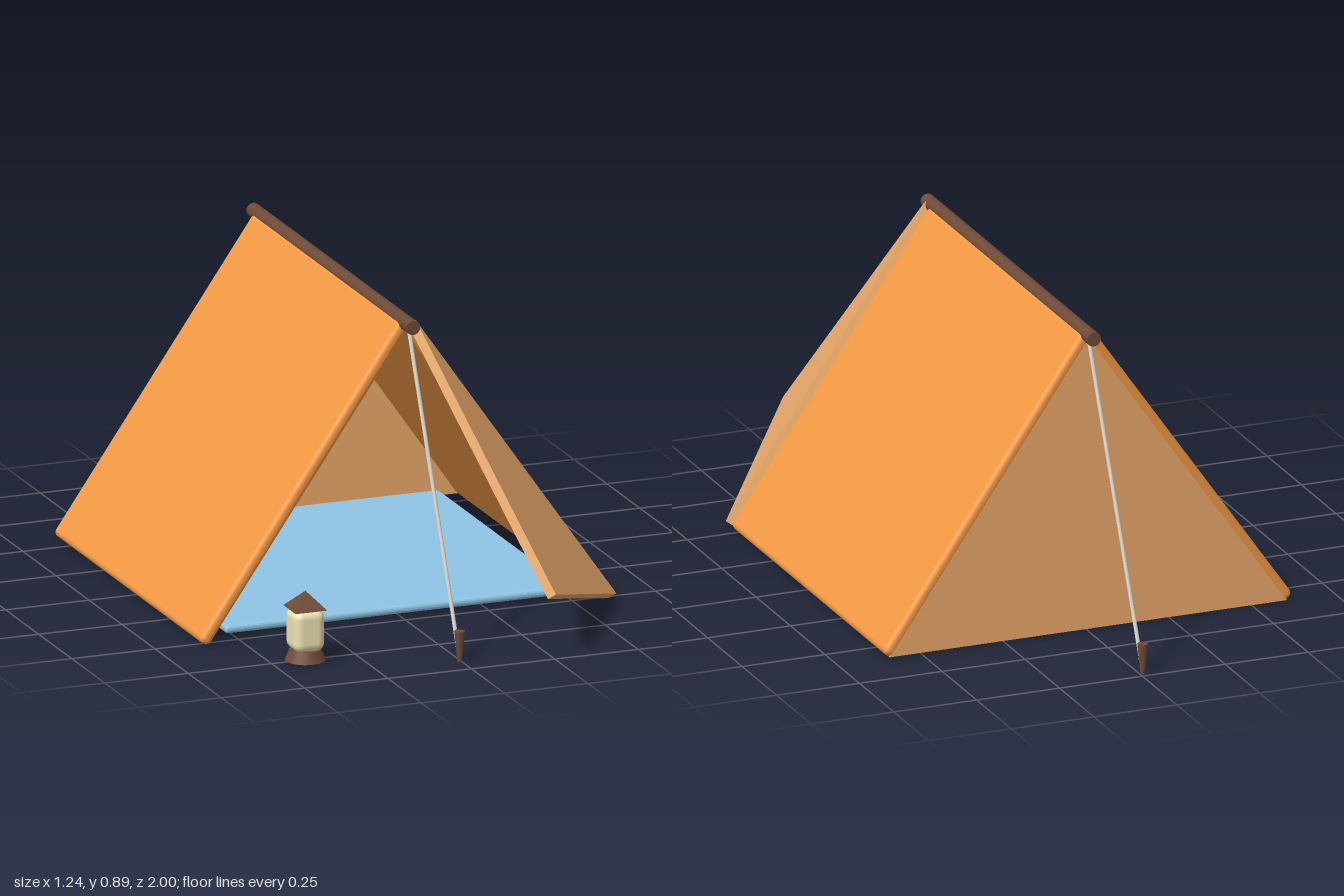
import * as THREE from 'three';
import { RoundedBoxGeometry } from 'three/addons/geometries/RoundedBoxGeometry.js';

const mat = (color, extra = {}) => new THREE.MeshStandardMaterial({ color, ...extra });
const CX = -0.007; // ridge line
const CZ = -0.034; // middle of the tent

function add(parent, name, geometry, material, x = 0, y = 0, z = 0) {
  const mesh = new THREE.Mesh(geometry, material);
  mesh.name = name;
  mesh.position.set(x, y, z);
  parent.add(mesh);
  return mesh;
}

// Cylinder stretched between two points
function rod(parent, name, a, b, radius, sides, material) {
  const dir = b.clone().sub(a);
  const mesh = add(parent, name, new THREE.CylinderGeometry(radius, radius, dir.length(), sides), material);
  mesh.position.copy(a).add(b).multiplyScalar(0.5);
  mesh.quaternion.setFromUnitVectors(new THREE.Vector3(0, 1, 0), dir.normalize());
  return mesh;
}

// Flat triangular plate: outer corners counter-clockwise, thickened inwards
function trianglePlate(corners, thickness) {
  const [a, b, c] = corners;
  const n = b.clone().sub(a).cross(c.clone().sub(a)).normalize();
  const inner = corners.map((p) => p.clone().addScaledVector(n, -thickness));
  const tris = [a, b, c, inner[0], inner[2], inner[1]];
  for (let i = 0; i < 3; i++) {
    const j = (i + 1) % 3;
    tris.push(corners[i], inner[i], inner[j], corners[i], inner[j], corners[j]);
  }
  const geometry = new THREE.BufferGeometry().setFromPoints(tris);
  geometry.computeVertexNormals();
  return geometry;
}

export function createModel() {
  const model = new THREE.Group();
  model.name = 'tent';
  const v = (x, y, z) => new THREE.Vector3(x, y, z);
  const canvas = mat(0xf39a45);
  const lightCanvas = mat(0xeeac6c);
  const wood = mat(0x6f4b38);
  const rope = mat(0xd8d4ca);
  const blue = mat(0x8fc4e6);
  const cream = mat(0xefe3b4);

  // Sloping roof panels
  const run = 0.582, rise = 0.839;
  const slope = Math.hypot(run, rise) + 0.036;
  for (const side of [-1, 1]) {
    const panel = add(model, side < 0 ? 'rightRoofPanel' : 'leftRoofPanel',
      new RoundedBoxGeometry(slope, 0.036, 1.118, 4, 0.016), canvas,
      CX + side * 0.304, 0.018 + rise / 2, CZ);
    panel.rotation.z = -side * Math.atan2(rise, run);
  }

  // Closed back wall
  const triangle = new THREE.Shape([
    new THREE.Vector2(-0.6, 0), new THREE.Vector2(0.6, 0), new THREE.Vector2(0, 0.868),
  ]);
  add(model, 'backWall', new THREE.ExtrudeGeometry(triangle, { depth: 0.025, bevelEnabled: false }),
    lightCanvas, CX, 0, -0.592);

  // Door flap folded open
  add(model, 'doorFlap', trianglePlate(
    [v(0.013, 0.885, 0.545), v(0.255, 0.185, 0.995), v(0.615, 0.02, 0.545)], 0.026), lightCanvas);

  // Ridge pole and ground sheet
  rod(model, 'ridgePole', v(CX, 0.873, -0.633), v(CX, 0.873, 0.578), 0.021, 16, wood);
  add(model, 'groundSheet', new RoundedBoxGeometry(1.035, 0.024, 1.0, 4, 0.011), blue, CX, 0.018, CZ);

  // Guy ropes and tapered stakes at both ends
  for (const [end, top, foot] of [['front', 0.54, 0.928], ['back', -0.59, -0.985]]) {
    rod(model, end + 'Rope', v(CX, 0.868, top), v(CX, 0.01, foot), 0.006, 8, rope);
    add(model, end + 'Stake', new THREE.CylinderGeometry(0.015, 0.006, 0.09, 10), wood, CX, 0.045, foot);
  }

  // Lantern
  const lantern = new THREE.Group();
  lantern.name = 'lantern';
  lantern.position.set(-0.398, 0, 0.748);
  add(lantern, 'lanternBase', new THREE.CylinderGeometry(0.045, 0.058, 0.032, 16), wood, 0, 0.016, 0);
  add(lantern, 'lanternGlass', new RoundedBoxGeometry(0.092, 0.122, 0.092, 4, 0.025), cream, 0, 0.09, 0);
  const roof = add(lantern, 'lanternRoof', new THREE.ConeGeometry(0.067, 0.05, 4),
    mat(0x6f4b38, { flatShading: true }), 0, 0.175, 0);
  roof.rotation.y = Math.PI / 4;
  model.add(lantern);

  return model;
}
